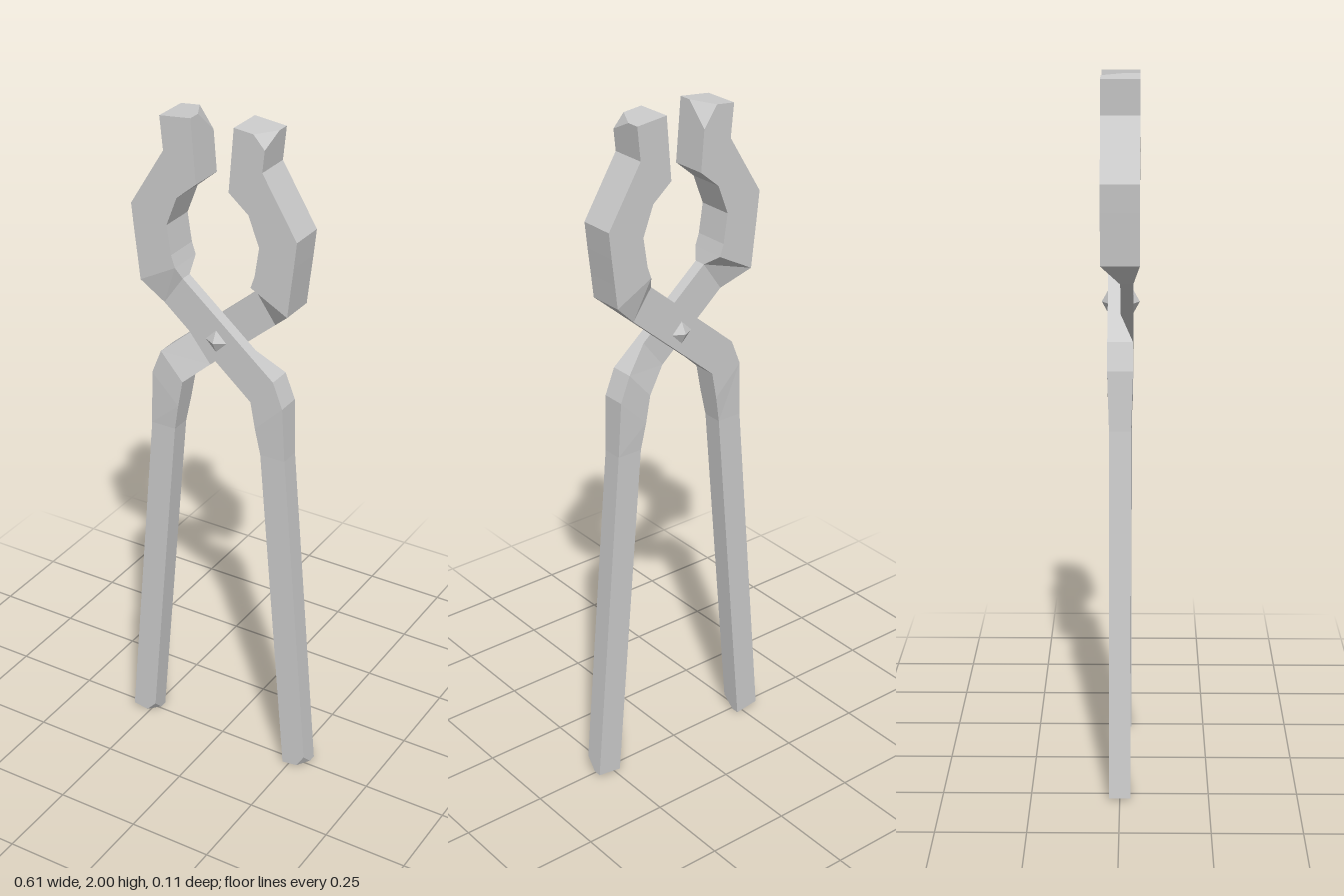
import * as THREE from 'three';

const material = new THREE.MeshStandardMaterial({ color: 0xcccccc, flatShading: true });

// Cross-sections from jaw tip to handle end: [left x, y, right x, y, back z, front z]
const SECTIONS = [
  [-0.16, 1.99, -0.065, 2.0, -0.053, 0.053],
  [-0.15, 1.895, -0.05, 1.82, -0.053, 0.053],
  [-0.255, 1.725, -0.11, 1.77, -0.053, 0.053],
  [-0.247, 1.65, -0.143, 1.685, -0.053, 0.053],
  [-0.238, 1.575, -0.13, 1.6, -0.053, 0.053],
  [-0.23, 1.505, -0.118, 1.565, -0.053, 0.053],
  [-0.165, 1.445, -0.105, 1.53, 0, 0.035],
  [0.04, 1.27, 0.105, 1.353, 0, 0.035],
  [0.11, 1.21, 0.18, 1.29, -0.035, 0.035],
  [0.125, 1.13, 0.21, 1.215, -0.035, 0.035],
  [0.14, 1.05, 0.217, 1.05, -0.03, 0.03],
  [0.23, 0.0, 0.305, 0.01, -0.03, 0.03],
];

const mix = (a, b, t) => a.map((v, i) => v + (b[i] - v) * t);

// Eight points: each of the four corners twice, so that one can be cut off
function ring([lx, ly, rx, ry, zb, zf], cutCorner = -1, amount = 0) {
  const corners = [[lx, ly, zf], [rx, ry, zf], [rx, ry, zb], [lx, ly, zb]]
    .map(p => new THREE.Vector3(...p));
  const points = [];
  corners.forEach((c, i) => {
    const t = i === cutCorner ? amount : 0;
    // even edges run across x, odd edges across z
    const tPrev = i % 2 ? t * 0.6 : t, tNext = i % 2 ? t : t * 0.6;
    points.push(c.clone().lerp(corners[(i + 3) % 4], tPrev));
    points.push(c.clone().lerp(corners[(i + 1) % 4], tNext));
  });
  return points;
}

// One bent bar: jaw, thin crossing and handle, with one cut corner at each end
function barGeometry(jawCut, handleCut) {
  const n = SECTIONS.length;
  const rings = [
    ring(SECTIONS[0], jawCut, 0.65),
    ring(mix(SECTIONS[0], SECTIONS[1], 0.35)),
    ...SECTIONS.slice(1, n - 1).map(s => ring(s)),
    ring(mix(SECTIONS[n - 1], SECTIONS[n - 2], 0.035)),
    ring(SECTIONS[n - 1], handleCut, 0.6),
  ];
  const pos = [];
  const tri = (a, b, c) => {
    if (new THREE.Triangle(a, b, c).getArea() > 1e-8) {
      for (const p of [a, b, c]) pos.push(p.x, p.y, p.z);
    }
  };
  for (let k = 0; k < rings.length - 1; k++) {
    for (let i = 0; i < 8; i++) {
      const j = (i + 1) % 8, up = rings[k], down = rings[k + 1];
      tri(up[i], down[i], up[j]);
      tri(up[j], down[i], down[j]);
    }
  }
  const top = rings[0], bottom = rings[rings.length - 1];
  for (let i = 1; i < 7; i++) {
    tri(top[0], top[i], top[i + 1]);
    tri(bottom[0], bottom[i + 1], bottom[i]);
  }
  const geometry = new THREE.BufferGeometry();
  geometry.setAttribute('position', new THREE.Float32BufferAttribute(pos, 3));
  geometry.computeVertexNormals();
  return geometry;
}

export function createModel() {
  const group = new THREE.Group();
  group.name = 'tongs';
  const add = (name, geometry) => {
    const mesh = new THREE.Mesh(geometry, material);
    mesh.name = name;
    group.add(mesh);
    return mesh;
  };

  // The two bars are half a turn apart and cross at the pivot
  add('frontBar', barGeometry(2, 1));
  add('backBar', barGeometry(3, 3)).rotation.y = Math.PI;

  // Pointed four-sided rivet heads
  for (const side of [1, -1]) {
    const head = add(side > 0 ? 'frontRivetHead' : 'backRivetHead',
      new THREE.ConeGeometry(0.04, 0.022, 4));
    head.rotation.x = side * Math.PI / 2;
    head.position.set(0, 1.368, side * 0.042);
  }
  return group;
}
